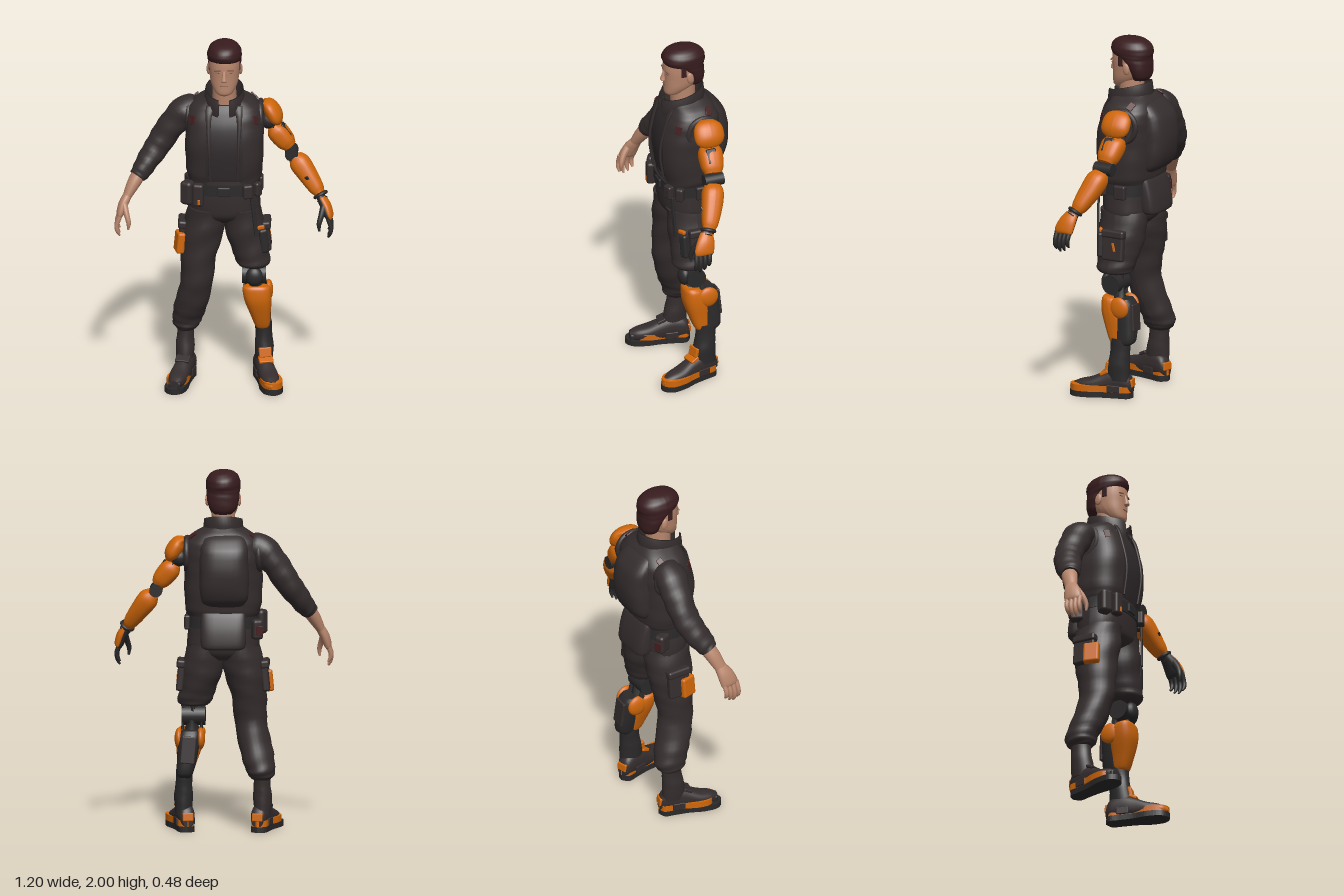
import * as THREE from 'three';
import { RoundedBoxGeometry } from 'three/addons/geometries/RoundedBoxGeometry.js';

const paint = (name, color, side = THREE.FrontSide) => {
  const m = new THREE.MeshStandardMaterial({ color, side });
  m.name = name;
  return m;
};

export function createModel() {
  const model = new THREE.Group();
  model.name = 'figure';
  const cloth = paint('cloth', 0x352d2e, THREE.DoubleSide);
  const shirtMat = paint('shirt', 0x302a2b);
  const skin = paint('skin', 0xb8866c);
  const hairMat = paint('hair', 0x381c1e);
  const maroon = paint('maroon patches', 0x451f20);
  const orange = paint('orange armour', 0xd0670a);
  const metal = paint('dark metal', 0x2b292a);
  const lip = paint('lips and brows', 0x85604f);

  const add = (name, geo, mat, pos = [0, 0, 0], rot = [0, 0, 0], parent = model) => {
    const m = new THREE.Mesh(geo, mat);
    m.name = name;
    m.position.set(...pos);
    m.rotation.set(...rot);
    parent.add(m);
    return m;
  };
  const box = (name, mat, size, pos, rot, parent) =>
    add(name, new RoundedBoxGeometry(...size, 3, Math.min(...size) * 0.3), mat, pos, rot, parent);
  const ball = (name, mat, size, pos, rot) =>
    add(name, new THREE.SphereGeometry(1, 20, 14), mat, pos, rot).scale.set(...size);

  // Smooth skin through sections [x, y, z, half width, half depth]
  function loft(name, mat, secs, o = {}) {
    const { dir, ref = [0, 0, 1], n = 28, e = 2, fold = 0, step = 4, arc, parent } = o;
    const path = new THREE.CatmullRomCurve3(secs.map(s => new THREE.Vector3(s[0], s[1], s[2])), false, 'catmullrom');
    const size = new THREE.CatmullRomCurve3(secs.map(s => new THREE.Vector3(s[3], s[4], 0)), false, 'catmullrom');
    const rings = (secs.length - 1) * step, pos = [], idx = [];
    const [a0, a1] = arc || [0, Math.PI * 2];
    const pw = v => Math.sign(v) * Math.abs(v) ** (2 / e);
    for (let i = 0; i <= rings; i++) {
      const c = path.getPoint(i / rings), r = size.getPoint(i / rings);
      const t = dir ? new THREE.Vector3(...dir) : path.getTangent(i / rings);
      const w = new THREE.Vector3(...ref).addScaledVector(t, -t.dot(new THREE.Vector3(...ref))).normalize();
      const u = new THREE.Vector3().crossVectors(w, t);
      for (let j = 0; j <= n; j++) {
        const a = a0 + (a1 - a0) * j / n;
        const k = 1 + fold * (Math.sin(i * 1.5 + 2.2 * Math.sin(a + i * 0.2)) + 0.6 * Math.sin(3 * a - i * 0.7));
        const p = c.clone().addScaledVector(u, pw(Math.cos(a)) * Math.max(r.x, 0.001) * k)
          .addScaledVector(w, pw(Math.sin(a)) * Math.max(r.y, 0.001) * k);
        pos.push(p.x, p.y, p.z);
      }
    }
    for (let i = 0; i < rings; i++) for (let j = 0; j < n; j++) {
      const a = i * (n + 1) + j, d = a + n + 1;
      idx.push(a, a + 1, d + 1, a, d + 1, d);
    }
    if (!arc) for (const end of [0, rings]) {
      const b = pos.length / 3, from = end * (n + 1) * 3;
      pos.push(...pos.slice(from, from + (n + 1) * 3), ...path.getPoint(end / rings).toArray());
      for (let j = 0; j < n; j++) idx.push(b + n + 1, b + j + (end ? 0 : 1), b + j + (end ? 1 : 0));
    }
    const g = new THREE.BufferGeometry();
    g.setAttribute('position', new THREE.Float32BufferAttribute(pos, 3));
    g.setIndex(idx);
    g.computeVertexNormals();
    return add(name, g, mat, [0, 0, 0], [0, 0, 0], parent);
  }
  const up = { dir: [0, 1, 0] }, down = { dir: [0, -1, 0] };
  const rod = (name, mat, a, b, r) => loft(name, mat, [[...a, r, r], [...b, r, r]], { n: 12, step: 1 });

  // Head
  loft('head', skin, [[0, 1.712, 0.075, 0.025, 0.025], [0, 1.728, 0.062, 0.05, 0.052], [0, 1.77, 0.032, 0.073, 0.083],
    [0, 1.82, 0.012, 0.083, 0.104], [0, 1.88, 0.005, 0.088, 0.113], [0, 1.94, 0, 0.082, 0.104], [0, 1.98, 0, 0.04, 0.05]], { ...up, e: 2.2 });
  loft('neck', skin, [[0, 1.58, -0.005, 0.075, 0.075], [0, 1.66, 0.005, 0.066, 0.07], [0, 1.78, 0.01, 0.064, 0.072]], up);
  loft('hair', hairMat, [[0, 1.765, -0.05, 0.05, 0.045], [0, 1.795, -0.055, 0.075, 0.055], [0, 1.85, -0.042, 0.089, 0.07],
    [0, 1.888, -0.015, 0.092, 0.096], [0, 1.912, 0.001, 0.095, 0.118], [0, 1.945, 0.005, 0.093, 0.121],
    [0, 1.975, 0.008, 0.077, 0.1], [0, 1.993, 0.008, 0.05, 0.065], [0, 2, 0.008, 0.015, 0.02]], { ...up, e: 2.1, fold: 0.01 });
  loft('nose', skin, [[0, 1.865, 0.112, 0.008, 0.008], [0, 1.825, 0.122, 0.012, 0.013], [0, 1.808, 0.124, 0.017, 0.014], [0, 1.8, 0.118, 0.01, 0.006]], down);
  box('mouth', lip, [0.042, 0.007, 0.008], [0, 1.776, 0.113]);
  for (const s of [-1, 1]) {
    ball('ear', skin, [0.011, 0.034, 0.02], [s * 0.088, 1.835, -0.005], [0.15, 0, 0]);
    box('eyebrow', lip, [0.036, 0.007, 0.009], [s * 0.037, 1.868, 0.111], [0, s * 0.2, -s * 0.08]);
    box('eye', lip, [0.022, 0.005, 0.006], [s * 0.035, 1.852, 0.1095], [0, s * 0.2, 0]);
    box('sideburn', hairMat, [0.012, 0.06, 0.03], [s * 0.082, 1.875, 0.03]);
  }

  // Shirt, open vest and collar
  const torso = [[0, 1.2, 0, 0.195, 0.145], [0, 1.26, 0, 0.21, 0.158], [0, 1.4, 0.002, 0.215, 0.172], [0, 1.52, -0.008, 0.213, 0.168],
    [0, 1.6, -0.02, 0.205, 0.15], [0, 1.65, -0.022, 0.165, 0.125], [0, 1.69, -0.01, 0.1, 0.1]];
  loft('shirt', shirtMat, torso.slice(0, 6).map(([x, y, z, a, b]) => [x, y, z, a - 0.014, b - 0.014]), { ...up, e: 2.7 });
  loft('vest', cloth, torso, { ...up, e: 2.7, n: 44, fold: 0.01, arc: [1.95, 1.2 + Math.PI * 2] });
  const collarProfile = [[0.11, 1.63], [0.116, 1.67], [0.11, 1.725], [0.102, 1.727], [0.1, 1.67], [0.098, 1.63]];
  const collar = new THREE.LatheGeometry(collarProfile.map(p => new THREE.Vector2(...p)), 36, 0.3, Math.PI * 2 - 0.6);
  const cp = collar.attributes.position;
  for (let i = 0; i < cp.count; i++) cp.setY(i, cp.getY(i) - 0.3 * cp.getZ(i));
  collar.computeVertexNormals();
  add('collar', collar, cloth, [0, 0, 0.015]).scale.set(0.96, 1, 1.13);
  for (const s of [-1, 1]) {
    add('armhole', new THREE.TorusGeometry(0.088, 0.016, 10, 28), cloth, [s * 0.198, 1.54, -0.04], [0, Math.PI / 2, s * 0.2]);
    loft('lapel', cloth, [[s * 0.075, 1.655, 0.102, 0.025, 0.008], [s * 0.085, 1.58, 0.135, 0.015, 0.009],
      [s * 0.08, 1.4, 0.17, 0.007, 0.007], [s * 0.075, 1.23, 0.15, 0.007, 0.007]], { ...down, n: 12 });
    box('shoulder patch', maroon, [0.035, 0.05, 0.009], [s * 0.172, 1.57, 0.098], [-0.25, s * 0.75, 0]);
    box('back shoulder patch', maroon, [0.05, 0.009, 0.035], [s * 0.165, 1.65, -0.08], [-0.4, 0, -s * 0.7]);
  }
  loft('backpack', cloth, [[-0.01, 1.26, -0.125, 0.1, 0.03], [-0.01, 1.31, -0.145, 0.13, 0.07], [-0.01, 1.43, -0.155, 0.136, 0.088],
    [-0.01, 1.56, -0.145, 0.132, 0.085], [-0.01, 1.63, -0.115, 0.12, 0.065], [-0.01, 1.67, -0.09, 0.08, 0.03]], { ...up, e: 2.7, fold: 0.012 });

  // Belt and pouches
  loft('pelvis', cloth, [[0, 0.955, -0.01, 0.08, 0.085], [0, 1, -0.005, 0.185, 0.132], [0, 1.08, 0, 0.197, 0.142], [0, 1.22, 0, 0.18, 0.14]], { ...up, e: 2.3, fold: 0.006 });
  loft('belt', metal, [[0, 1.135, 0, 0.196, 0.15], [0, 1.2, 0, 0.194, 0.15]], { ...up, e: 2.5, step: 1 });
  box('buckle', metal, [0.07, 0.05, 0.02], [0, 1.167, 0.15]);
  for (const [x, y, z, w, h, d, r] of [[-0.2, 1.145, 0.1, 0.07, 0.135, 0.07, -0.5], [-0.14, 1.145, 0.14, 0.06, 0.13, 0.05, -0.2],
    [0.13, 1.165, 0.138, 0.055, 0.08, 0.04, 0.3], [0.18, 1.165, 0.09, 0.045, 0.08, 0.05, 0.8],
    [0.195, 1.16, -0.03, 0.035, 0.08, 0.07, 0], [-0.185, 1.13, -0.085, 0.06, 0.11, 0.08, 0.4]])
    box('belt pouch', cloth, [w, h, d], [x, y, z], [0, r, 0]);
  loft('back bag', cloth, [[-0.005, 1.025, -0.145, 0.1, 0.04], [-0.005, 1.045, -0.147, 0.122, 0.052], [-0.005, 1.13, -0.138, 0.126, 0.05],
    [-0.005, 1.21, -0.125, 0.122, 0.036], [-0.005, 1.24, -0.118, 0.11, 0.02]], { ...up, e: 3.2 });
  box('pouch tab', orange, [0.014, 0.03, 0.006], [-0.138, 1.11, 0.166], [0, -0.2, 0]);
  box('pouch patch', maroon, [0.04, 0.05, 0.008], [-0.203, 1.125, -0.124], [0, 0.4, 0]);
  box('hanging strap', metal, [0.022, 0.24, 0.012], [0.165, 1.02, 0.125], [0, 0.4, 0.12]);

  // Trousers
  loft('rightTrouserLeg', cloth, [[-0.095, 1.04, 0, 0.1, 0.137], [-0.115, 0.9, 0, 0.115, 0.132], [-0.14, 0.75, 0.012, 0.098, 0.115],
    [-0.152, 0.6, 0.02, 0.09, 0.1], [-0.182, 0.45, -0.015, 0.092, 0.1], [-0.203, 0.36, -0.045, 0.084, 0.092],
    [-0.21, 0.315, -0.047, 0.072, 0.085], [-0.212, 0.29, -0.045, 0.05, 0.06]], { ...down, fold: 0.024, step: 5 });
  loft('leftTrouserLeg', cloth, [[0.095, 1.04, 0, 0.1, 0.137], [0.115, 0.9, 0, 0.115, 0.132], [0.142, 0.78, 0.012, 0.1, 0.115],
    [0.158, 0.715, 0.02, 0.095, 0.105], [0.16, 0.695, 0.02, 0.075, 0.085]], { ...down, fold: 0.02, step: 5 });
  for (const s of [-1, 1]) {
    box('thigh pocket', cloth, [0.04, 0.16, 0.13], [s * 0.232, 0.86, -0.01], [0, 0, s * 0.1]);
    box('pocket flap', cloth, [0.05, 0.045, 0.14], [s * 0.23, 0.93, -0.01], [0, 0, s * 0.1]);
  }
  box('right pocket plate', orange, [0.045, 0.12, 0.09], [-0.245, 0.83, 0.04], [0, 0.25, -0.1]);
  box('left pocket tab', orange, [0.045, 0.022, 0.02], [0.2, 0.935, 0.088], [0, 0.5, 0]);
  box('left holster', metal, [0.05, 0.14, 0.05], [0.215, 0.855, 0.075], [0, 0.4, 0.1]);
  box('left pocket mark', orange, [0.008, 0.05, 0.015], [0.251, 0.86, -0.02], [0.3, 0, 0.1]);

  // Sleeved right arm
  loft('sleeve', cloth, [[-0.15, 1.585, -0.045, 0.07, 0.08], [-0.215, 1.567, -0.05, 0.085, 0.09], [-0.29, 1.485, -0.052, 0.075, 0.084],
    [-0.355, 1.385, -0.045, 0.071, 0.078], [-0.41, 1.305, -0.015, 0.063, 0.073], [-0.455, 1.24, 0.02, 0.054, 0.062],
    [-0.478, 1.21, 0.035, 0.045, 0.05]], { fold: 0.03, step: 5 });
  loft('forearm', skin, [[-0.45, 1.25, 0.01, 0.04, 0.045], [-0.495, 1.18, 0.045, 0.037, 0.043], [-0.535, 1.105, 0.075, 0.024, 0.034]]);

  // Hands
  function hand(s, mat, name) {
    const g = new THREE.Group();
    g.name = name;
    model.add(g);
    const o = { n: 14, parent: g };
    loft('palm', mat, [[s * 0.53, 1.115, 0.07, 0.025, 0.034], [s * 0.553, 1.07, 0.09, 0.027, 0.047],
      [s * 0.57, 1.02, 0.106, 0.022, 0.052], [s * 0.573, 1, 0.11, 0.013, 0.046]], o);
    [0.15, 0.125, 0.099, 0.073].forEach((z, i) => {
      const l = [0.095, 0.108, 0.1, 0.08][i];
      loft('finger', mat, [[s * 0.572, 1.015, z, 0.013, 0.014], [s * 0.588, 1.005 - l * 0.4, z + 0.004, 0.0125, 0.013],
        [s * 0.585, 1.005 - l * 0.75, z + 0.006, 0.011, 0.0115], [s * 0.572, 1.005 - l, z + 0.004, 0.005, 0.005]], o);
    });
    loft('thumb', mat, [[s * 0.548, 1.075, 0.115, 0.019, 0.022], [s * 0.535, 1.03, 0.146, 0.016, 0.018],
      [s * 0.523, 0.985, 0.163, 0.013, 0.013], [s * 0.525, 0.945, 0.163, 0.006, 0.006]], o);
    return g;
  }
  hand(-1, skin, 'rightHand');
  const leftHand = hand(1, metal, 'leftHand');
  loft('hand armour', orange, [[0.537, 1.11, 0.075, 0.022, 0.036], [0.563, 1.07, 0.09, 0.025, 0.05],
    [0.581, 1.02, 0.106, 0.02, 0.055], [0.582, 1.005, 0.108, 0.008, 0.042]], { parent: leftHand });

  // Mechanical left arm
  loft('shoulder armour', orange, [[0.213, 1.627, -0.05, 0.012, 0.04], [0.243, 1.605, -0.047, 0.038, 0.078], [0.273, 1.555, -0.045, 0.046, 0.086],
    [0.287, 1.52, -0.045, 0.033, 0.072], [0.287, 1.502, -0.045, 0.015, 0.04]]);
  ball('shoulder joint', metal, [0.05, 0.05, 0.05], [0.242, 1.52, -0.045]);
  for (const z of [-0.085, -0.005]) rod('arm strut', metal, [0.25, 1.54, z], [0.3, 1.43, z], 0.016);
  loft('upper arm armour', orange, [[0.265, 1.487, -0.045, 0.035, 0.055], [0.288, 1.457, -0.043, 0.057, 0.068], [0.335, 1.4, -0.037, 0.053, 0.062],
    [0.36, 1.37, -0.033, 0.036, 0.046]], { e: 2.5 });
  box('upper arm panel', metal, [0.03, 0.085, 0.06], [0.334, 1.465, -0.035], [0, 0, 0.65]);
  add('elbow hinge', new THREE.CylinderGeometry(0.036, 0.036, 0.11, 20), metal, [0.368, 1.338, -0.03], [Math.PI / 2, 0, 0]);
  rod('elbow rod', metal, [0.34, 1.39, -0.035], [0.41, 1.29, -0.015], 0.038);
  loft('forearm armour', orange, [[0.385, 1.315, -0.02, 0.036, 0.045], [0.412, 1.283, -0.01, 0.057, 0.06], [0.455, 1.225, 0.012, 0.053, 0.058],
    [0.505, 1.155, 0.042, 0.042, 0.046], [0.525, 1.128, 0.056, 0.028, 0.035]], { e: 2.4 });
  box('forearm panel', metal, [0.018, 0.04, 0.01], [0.46, 1.215, 0.069], [0.3, 0, 0.65]);
  rod('wrist', metal, [0.515, 1.145, 0.05], [0.54, 1.1, 0.075], 0.033);
  add('wrist ring', new THREE.TorusGeometry(0.034, 0.01, 10, 24), metal, [0.529, 1.122, 0.062], [Math.PI / 2 - 0.4, 0.5, 0]);

  // Mechanical left leg
  rod('thigh rod', metal, [0.157, 0.74, 0.02], [0.172, 0.55, 0], 0.048);
  add('knee hinge', new THREE.CylinderGeometry(0.055, 0.055, 0.13, 24), metal, [0.163, 0.635, 0.012], [0, 0, Math.PI / 2]);
  ball('knee cap', metal, [0.048, 0.055, 0.035], [0.165, 0.635, 0.062]);
  for (const s of [-1, 1]) rod('knee strut', metal, [0.163 + s * 0.055, 0.71, 0], [0.173 + s * 0.05, 0.53, -0.03], 0.016);
  loft('shin armour', orange, [[0.175, 0.57, 0.03, 0.06, 0.035], [0.176, 0.55, 0.02, 0.077, 0.055], [0.184, 0.48, 0.005, 0.075, 0.07],
    [0.197, 0.39, -0.012, 0.056, 0.06], [0.207, 0.32, -0.025, 0.041, 0.045], [0.207, 0.305, -0.025, 0.025, 0.03]], { ...down, e: 2.6 });
  loft('calf', metal, [[0.18, 0.56, -0.055, 0.05, 0.04], [0.185, 0.52, -0.06, 0.062, 0.06], [0.195, 0.42, -0.07, 0.056, 0.06],
    [0.208, 0.33, -0.075, 0.046, 0.055], [0.21, 0.3, -0.06, 0.035, 0.04]], { ...down, e: 2.6 });
  box('calf panel', cloth, [0.08, 0.15, 0.02], [0.188, 0.46, -0.122], [0.08, 0, 0.08]);
  for (const s of [-1, 1]) ball('shin side plate', orange, [0.024, 0.06, 0.058], [0.182 + s * 0.06, 0.515, -0.05], [0.2, 0, 0]);

  // Ankles and shoes
  const outline = new THREE.Shape();
  outline.setFromPoints(new THREE.SplineCurve([[0, 0.115], [0.042, 0.09], [0.046, 0.03], [0.05, -0.05], [0.064, -0.13], [0.056, -0.21], [0.005, -0.245],
    [-0.044, -0.21], [-0.054, -0.13], [-0.044, -0.05], [-0.042, 0.03], [-0.04, 0.09], [0, 0.115]].map(p => new THREE.Vector2(...p))).getPoints(60));
  const slab = h => new THREE.ExtrudeGeometry(outline, { depth: h, bevelEnabled: false }).rotateX(-Math.PI / 2);
  for (const s of [-1, 1]) {
    loft(s < 0 ? 'right boot shaft' : 'left ankle', s < 0 ? cloth : metal, [[s * 0.212, 0.34, -0.045, 0.046, 0.06], [s * 0.215, 0.26, -0.043, 0.046, 0.057],
      [s * 0.217, 0.19, -0.035, 0.052, 0.064], [s * 0.217, 0.1, -0.03, 0.046, 0.07]], { ...down, fold: 0.014 });
    const shoe = new THREE.Group();
    shoe.name = s < 0 ? 'rightShoe' : 'leftShoe';
    shoe.position.set(s * 0.217, 0, 0);
    shoe.rotation.y = s * 0.25;
    model.add(shoe);
    add('sole', slab(0.032), metal, [0, 0, 0], [0, 0, 0], shoe).scale.set(s, 1, 1);
    // Trim runs around the heel and sides, and over the left toe
    add('shoe trim', slab(0.035), orange, [s * 0.002, 0.032, s < 0 ? -0.016 : 0], [0, 0, 0], shoe).scale.set(s * 0.97, 1, s < 0 ? 0.87 : 0.985);
    loft('shoe upper', cloth, [[0, 0.065, -0.112, 0.028, 0.035], [0, 0.082, -0.085, 0.043, 0.058], [0, 0.09, -0.02, 0.048, 0.068], [0, 0.075, 0.05, 0.049, 0.062],
      [s * 0.002, 0.062, 0.12, 0.052, 0.043], [s * 0.001, 0.054, 0.18, 0.044, 0.035], [s * 0.001, 0.05, 0.22, 0.024, 0.022]],
      { dir: [0, 0, 1], ref: [0, 1, 0], e: 2.4, parent: shoe });
    // Dark waist plate breaks the trim on each side
    for (const k of [-1, 1]) box('shoe waist panel', cloth, [0.012, 0.04, 0.07], [k * 0.047, 0.053, -0.01], [0, 0, 0], shoe);
    box('heel counter', orange, [0.06, 0.045, 0.02], [0, 0.085, -0.107], [0.1, 0, 0], shoe);
    box('shoe strap', s > 0 ? orange : cloth, [0.08, 0.018, 0.05], [0, 0.138, 0.045], [0.45, 0, 0], shoe);
    if (s > 0) {
      box('ankle plate', orange, [0.07, 0.055, 0.02], [0, 0.175, 0.028], [-0.2, 0, 0], shoe);
      loft('toe cap', orange, [[0.004, 0.05, 0.18, 0.052, 0.024], [0.004, 0.049, 0.215, 0.043, 0.022], [0.004, 0.046, 0.24, 0.018, 0.012]],
        { dir: [0, 0, 1], ref: [0, 1, 0], e: 2.6, parent: shoe });
    } else box('toe bumper', metal, [0.07, 0.035, 0.03], [0, 0.045, 0.205], [0, 0, 0], shoe);
  }
  return model;
}
